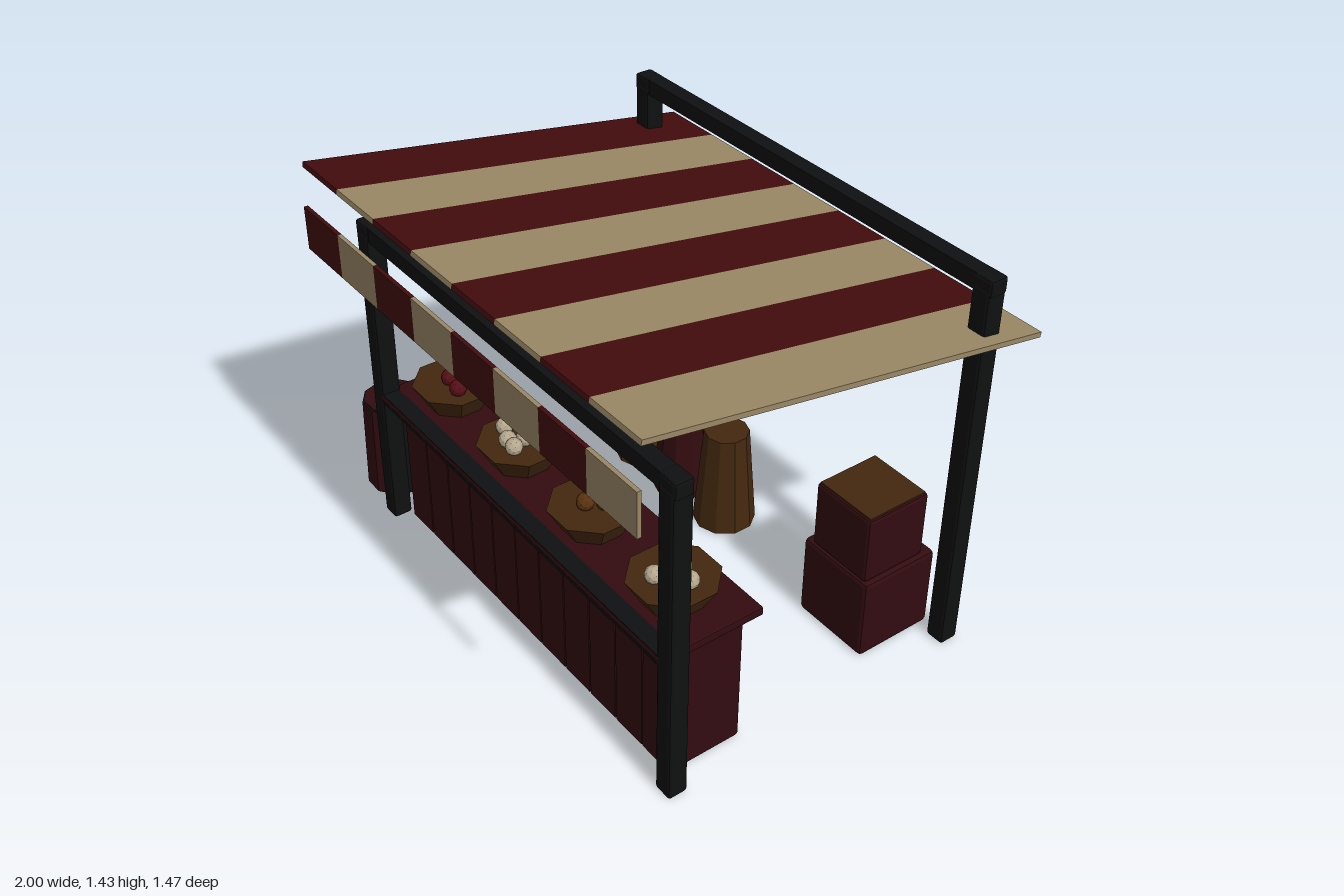
import * as THREE from 'three';
import { RoundedBoxGeometry } from 'three/addons/geometries/RoundedBoxGeometry.js';

export function createModel() {
  const root = new THREE.Group();
  root.name = 'marketStall';

  const mat = (name, color) => {
    const m = new THREE.MeshStandardMaterial({ color, flatShading: true });
    m.name = name;
    return m;
  };
  const clothRed = mat('clothRed', 0x430c0e);
  const clothCream = mat('clothCream', 0x9a8866);
  const darkWood = mat('darkWood', 0x0f1011);
  const redWood = mat('redWood', 0x320c10);
  const brown = mat('brown', 0x44280f);
  const fruitRed = mat('fruitRed', 0x560f16);
  const fruitCream = mat('fruitCream', 0xb5a88e);
  const fruitOrange = mat('fruitOrange', 0x5a330f);

  const add = (name, geo, material, x, y, z, parent = root) => {
    const m = new THREE.Mesh(geo, material);
    m.name = name;
    m.position.set(x, y, z);
    parent.add(m);
    return m;
  };
  const box = (w, h, d) => new THREE.BoxGeometry(w, h, d);
  const soft = (w, h, d, r = 0.01) => new RoundedBoxGeometry(w, h, d, 1, r);

  // Posts and the beams that cap them, front pair lower than the back pair
  for (const [side, z, top] of [['front', 0.55, 1.2], ['back', -0.57, 1.4]]) {
    for (const x of [-0.705, 0.92]) {
      add(side + 'Post', soft(0.07, top - 0.035, 0.07), darkWood, x, (top - 0.035) / 2, z);
      add(side + 'BeamEnd', soft(0.08, 0.06, 0.066), darkWood, x, top - 0.03, z);
    }
    add(side + 'Beam', box(1.64, 0.056, 0.056), darkWood, 0.1075, top - 0.03, z);
  }

  // Sloping striped canopy and its hanging front valance
  const canopy = new THREE.Group();
  canopy.name = 'canopy';
  canopy.position.set(0, 1.298, -0.005);
  canopy.rotation.x = -0.174;
  root.add(canopy);
  const stripe = 1.78 / 8;
  for (let i = 0; i < 8; i++) {
    const x = -0.78 + stripe * (i + 0.5);
    const cloth = i % 2 ? clothCream : clothRed;
    add('canopyStripe', box(stripe, 0.018, 1.477), cloth, x, 0, 0, canopy);
    add('valanceStripe', box(stripe, 0.153, 0.014), cloth, x, 1.202, 0.729);
  }

  // Counter with planked front
  add('counterBody', soft(1.52, 0.51, 0.262), redWood, 0.11, 0.255, 0.381);
  const plank = 1.52 / 11;
  for (let i = 0; i < 11; i++) {
    add('counterPlank', box(plank - 0.006, 0.49, 0.012), redWood,
      -0.65 + plank * (i + 0.5), 0.25, 0.514);
  }
  add('counterTop', soft(1.61, 0.03, 0.375, 0.006), redWood, 0.105, 0.525, 0.3975);
  add('counterTrim', box(1.555, 0.006, 0.06), darkWood, 0.1075, 0.539, 0.552);
  add('counterLip', box(1.555, 0.012, 0.006), darkWood, 0.1075, 0.517, 0.583);

  // Bowls of produce
  const bowlGeo = new THREE.CylinderGeometry(0.148, 0.1, 0.083, 8);
  const fruitGeo = new THREE.IcosahedronGeometry(0.03, 1);
  const bowls = [
    [-0.5, fruitRed, [[0, 0.02], [0.035, -0.04], [0.07, 0.03]]],
    [-0.095, fruitCream, [[-0.065, 0.02], [-0.03, -0.04], [0, 0.05], [0.025, 0], [0.045, 0.055], [0.045, -0.045]]],
    [0.31, fruitOrange, [[0, 0.03], [0.035, -0.02], [0.01, -0.05]]],
    [0.715, fruitCream, [[-0.015, 0.06], [0.005, -0.03], [0.035, 0.03], [0.065, -0.01]]],
  ];
  for (const [x, fruitMat, spots] of bowls) {
    const bowl = new THREE.Group();
    bowl.name = 'produceBowl';
    bowl.position.set(x, 0.54, 0.395);
    root.add(bowl);
    add('bowl', bowlGeo, brown, 0, 0.0415, 0, bowl).rotation.y = Math.PI / 8;
    for (const [fx, fz] of spots) add('fruit', fruitGeo, fruitMat, fx, 0.105, fz, bowl);
  }

  // Barrel beside the stall: red staves, a dark side, dark base and rim
  const barrel = new THREE.Group();
  barrel.name = 'barrel';
  barrel.position.set(-0.88, 0, 0.443);
  root.add(barrel);
  const seg = Math.PI / 5;
  const staves = (n, start) =>
    new THREE.CylinderGeometry(0.111, 0.12, 0.355, n, 1, true, start * seg, n * seg);
  add('barrelStaves', staves(8, 3.5), redWood, 0, 0.1775, 0, barrel);
  add('barrelDarkStaves', staves(2, 1.5), darkWood, 0, 0.1775, 0, barrel);
  const disc = (r) => new THREE.CylinderGeometry(r, r, 0.004, 10).rotateY(seg / 2);
  add('barrelRim', disc(0.111), darkWood, 0, 0.354, 0, barrel);
  add('barrelLid', disc(0.103), redWood, 0, 0.357, 0, barrel);
  add('barrelBase', disc(0.12), darkWood, 0, 0.002, 0, barrel);

  // Tapered sacks behind the counter
  for (const [x, h, m] of [[0.01, 0.38, brown], [-0.235, 0.31, redWood], [-0.465, 0.27, brown]]) {
    add('sack', new THREE.CylinderGeometry(0.08, 0.112, h, 10), m, x, h / 2, -0.378);
  }

  // Stacked crates
  add('lowerCrate', soft(0.3, 0.305, 0.3, 0.015), redWood, 0.69, 0.1525, -0.43);
  add('upperCrate', soft(0.25, 0.25, 0.25, 0.012), redWood, 0.7, 0.43, -0.41);
  add('upperCrateLid', box(0.232, 0.008, 0.232), brown, 0.7, 0.555, -0.41);

  return root;
}
